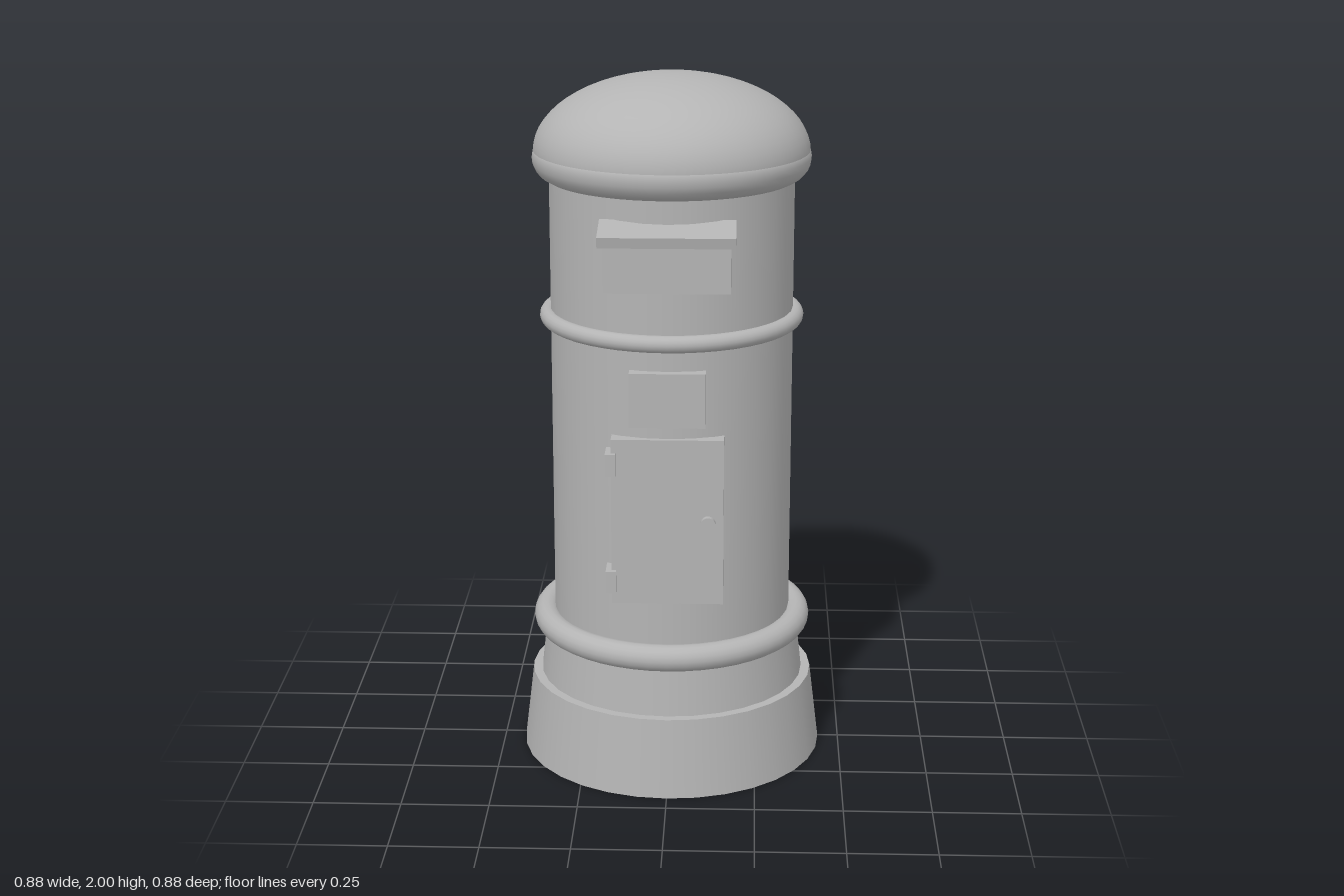
import * as THREE from 'three';

export function createModel() {
  const model = new THREE.Group();
  model.name = 'pillarBox';
  const grey = new THREE.MeshStandardMaterial({ color: 0xb4b4b4 });
  grey.name = 'plain grey';

  const add = (name, geometry, x = 0, y = 0, z = 0) => {
    const mesh = new THREE.Mesh(geometry, grey);
    mesh.name = name;
    mesh.position.set(x, y, z);
    model.add(mesh);
    return mesh;
  };
  // Upright round section between two heights
  const drum = (name, rTop, rBottom, y0, y1) =>
    add(name, new THREE.CylinderGeometry(rTop, rBottom, y1 - y0, 32), 0, (y0 + y1) / 2, 0);
  // Box given by its limits
  const block = (name, x0, x1, y0, y1, z0, z1) =>
    add(name, new THREE.BoxGeometry(x1 - x0, y1 - y0, z1 - z0),
      (x0 + x1) / 2, (y0 + y1) / 2, (z0 + z1) / 2);
  const ring = (name, radius, tube, y) => {
    const geometry = new THREE.TorusGeometry(radius, tube, 16, 48);
    geometry.rotateX(Math.PI / 2);
    add(name, geometry, 0, y, 0);
  };

  // Stepped plinth and body
  drum('plinth', 0.412, 0.44, 0, 0.23);
  drum('plinthCollar', 0.367, 0.387, 0.22, 0.4);
  drum('body', 0.346, 0.346, 0.38, 1.76);
  ring('lowerRing', 0.368, 0.038, 0.402);
  ring('upperRing', 0.352, 0.024, 1.315);

  // Cap: rounded lip below a flattened dome
  const lip = [[0.34, 1.708], [0.352, 1.71], [0.37, 1.72], [0.383, 1.735], [0.39, 1.752],
    [0.392, 1.77], [0.389, 1.787], [0.38, 1.795]];
  add('capLip', new THREE.LatheGeometry(lip.map(([r, y]) => new THREE.Vector2(r, y)), 48));
  const dome = new THREE.SphereGeometry(1, 48, 16, 0, Math.PI * 2, 0, Math.PI / 2);
  dome.scale(0.389, 0.218, 0.389);
  add('dome', dome, 0, 1.782, 0);

  // Letter slot with a sloping hood
  block('slotBox', -0.172, 0.172, 1.468, 1.605, 0.305, 0.4);
  const hood = block('slotHood', -0.185, 0.185, 1.61, 1.64, 0.307, 0.433);
  hood.rotation.x = 0.19;

  // Notice plate and door
  block('noticePlate', -0.105, 0.105, 1.082, 1.236, 0.32, 0.369);
  block('door', -0.156, 0.156, 0.563, 1.044, 0.3, 0.358);
  for (const y of [0.63, 0.973]) {
    block('hinge', -0.172, -0.143, y - 0.032, y + 0.032, 0.3, 0.374);
  }
  const knob = new THREE.CylinderGeometry(0.021, 0.021, 0.03, 20);
  knob.rotateX(Math.PI / 2);
  add('doorKnob', knob, 0.113, 0.803, 0.359);

  return model;
}
